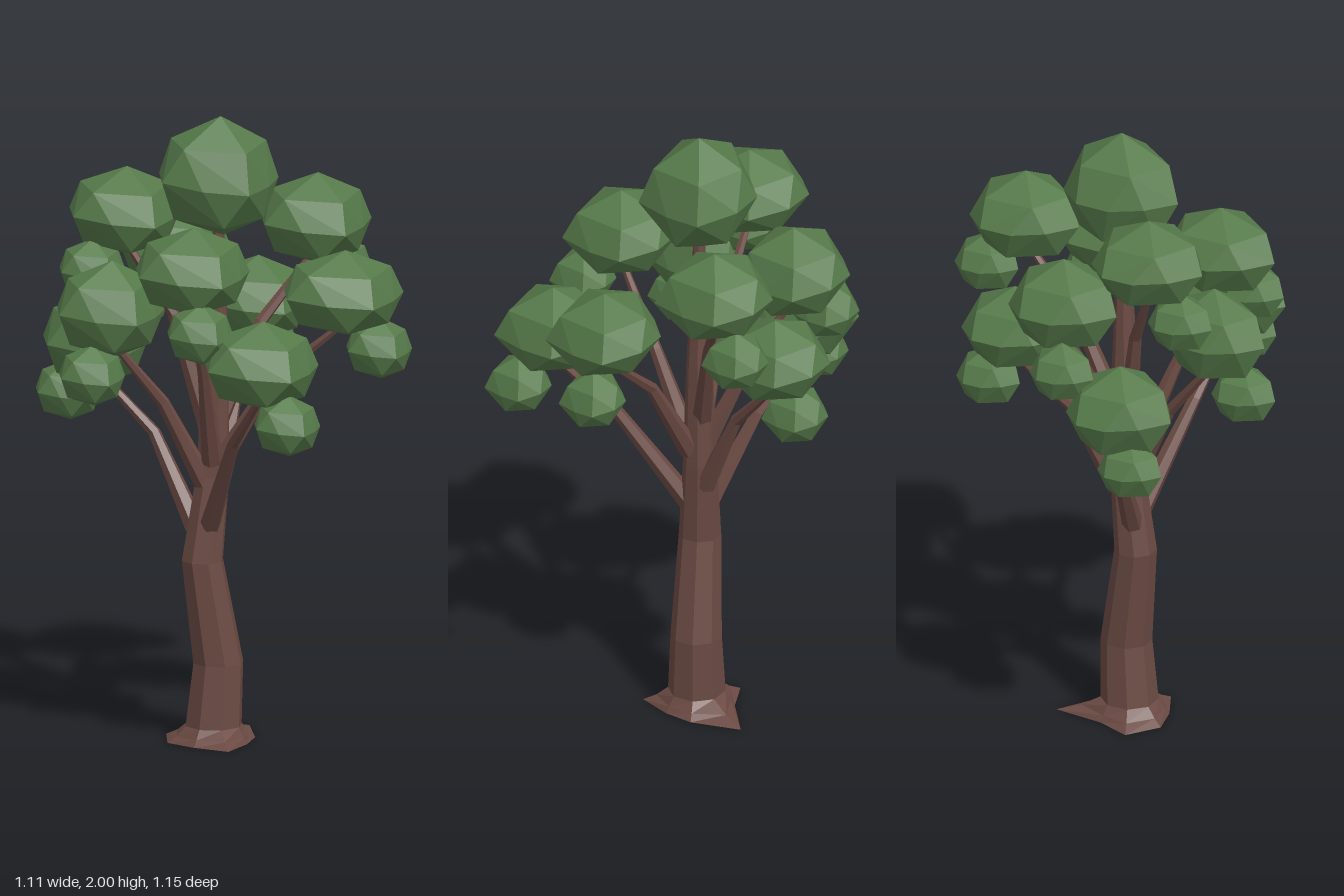
import * as THREE from 'three';
import { ConvexGeometry } from 'three/addons/geometries/ConvexGeometry.js';

const bark = new THREE.MeshStandardMaterial({ color: 0x6b4a43, flatShading: true });
const leaf = new THREE.MeshStandardMaterial({ color: 0x567a4a, flatShading: true });
const vec = (p) => new THREE.Vector3(...p);

// Closed tapering limb: one ring per point; a radius is a number or a list per side
function limb(name, points, radii, sides) {
  const pos = [], idx = [];
  const up = new THREE.Vector3(0, 1, 0);
  const pts = points.map(vec);
  pts.forEach((p, k) => {
    const dir = pts[Math.min(k + 1, pts.length - 1)].clone().sub(pts[Math.max(k - 1, 0)]).normalize();
    const q = new THREE.Quaternion().setFromUnitVectors(up, name === 'trunk' ? up : dir);
    for (let i = 0; i < sides; i++) {
      const a = (i / sides) * Math.PI * 2;
      const r = Array.isArray(radii[k]) ? radii[k][i] : radii[k];
      pos.push(...vec([Math.cos(a) * r, 0, Math.sin(a) * r]).applyQuaternion(q).add(p).toArray());
    }
  });
  for (let k = 0; k < pts.length - 1; k++) {
    for (let i = 0; i < sides; i++) {
      const a = k * sides + i, b = k * sides + ((i + 1) % sides);
      idx.push(a, a + sides, b, b, a + sides, b + sides);
    }
  }
  const top = (pts.length - 1) * sides;
  for (let i = 1; i < sides - 1; i++) idx.push(0, i, i + 1, top, top + i + 1, top + i);
  const g = new THREE.BufferGeometry();
  g.setAttribute('position', new THREE.Float32BufferAttribute(pos, 3));
  g.setIndex(idx);
  g.computeVertexNormals();
  const m = new THREE.Mesh(g, bark);
  m.name = name;
  return m;
}

// Faceted leaf clump in a 2-unit box: apex, shoulder, widest ring, underside, bottom
const clumpGeometry = new ConvexGeometry([
  [0.03, 1, 0],
  [0.8, 0.52, -0.12], [0.25, 0.5, 0.74], [-0.68, 0.56, 0.4], [-0.66, 0.58, -0.45], [0.2, 0.56, -0.76],
  [1, -0.12, -0.12], [0.7, -0.14, 0.45], [0.23, -0.15, 1], [-0.45, -0.1, 0.72], [-1, 0, 0.3],
  [-0.88, 0.03, -0.35], [-0.5, 0, -0.8], [0.05, 0, -1], [0.62, -0.02, -0.75],
  [0.65, -0.7, 0.3], [-0.1, -0.75, 0.7], [-0.75, -0.68, 0.05], [-0.25, -0.68, -0.68], [0.45, -0.68, -0.55],
  [0.05, -1, 0.05],
].map(vec));

function clump(name, center, size) {
  const m = new THREE.Mesh(clumpGeometry, leaf);
  m.name = name;
  m.position.set(...center);
  m.scale.set(...size).multiplyScalar(0.5);
  return m;
}

export function createModel() {
  const tree = new THREE.Group();
  tree.name = 'tree';

  // Trunk with a three-lobed, concave foot and a slight bend
  const foot = [0.135, 0.12, 0.17, 0.125, 0.15, 0.17, 0.12, 0.23];
  const ankle = foot.map((r) => 0.4 * r + 0.06);
  tree.add(limb('trunk', [
    [-0.02, 0, -0.08], [-0.02, 0.02, -0.08], [-0.02, 0.05, -0.08], [-0.005, 0.25, -0.08], [-0.055, 0.58, -0.085],
    [-0.02, 0.85, -0.09], [-0.01, 1.2, -0.09], [0, 1.72, -0.09],
  ], [foot, ankle, 0.091, 0.081, 0.067, 0.054, 0.042, 0.014], 8));

  tree.add(clump('crownTop', [0, 1.81, -0.09], [0.4, 0.38, 0.37]));

  // Each bough: big clump centre and size, small side clump centre, branch root and bend
  const boughs = [
    { c: [-0.27, 1.69, -0.21], s: [0.37, 0.28, 0.38], side: [-0.385, 1.515, -0.18], root: [-0.03, 1.0, -0.1], bend: [-0.13, 1.36, -0.15] },
    { c: [-0.16, 1.575, 0.18], s: [0.38, 0.28, 0.36], side: [-0.17, 1.4, 0.3], root: [-0.03, 0.9, -0.06], bend: [-0.09, 1.2, 0.06] },
    { c: [-0.37, 1.42, -0.025], s: [0.36, 0.31, 0.31], side: [-0.445, 1.225, 0.03], root: [-0.05, 0.83, -0.08], bend: [-0.19, 1.1, -0.06] },
    { c: [0.335, 1.47, 0.16], s: [0.4, 0.27, 0.36], side: [0.445, 1.29, 0.18], root: [0, 0.9, -0.06], bend: [0.14, 1.18, 0.04] },
    { c: [0.345, 1.63, -0.19], s: [0.37, 0.29, 0.37], side: [0.44, 1.455, -0.27], root: [0, 1.02, -0.1], bend: [0.15, 1.32, -0.14] },
    { c: [0.01, 1.305, 0.37], s: [0.38, 0.28, 0.36], side: [0.065, 1.13, 0.47], root: [-0.04, 0.7, -0.05], bend: [-0.03, 1.01, 0.18] },
    { c: [-0.32, 1.245, -0.37], s: [0.35, 0.3, 0.36], side: [-0.4, 1.08, -0.4], root: [-0.07, 0.68, -0.11], bend: [-0.165, 0.96, -0.25] },
    { c: [-0.06, 1.525, -0.38], s: [0.37, 0.3, 0.36], side: [-0.155, 1.35, -0.47], root: [-0.02, 0.92, -0.11], bend: [-0.03, 1.2, -0.24] },
    { c: [0.2, 1.345, -0.36], s: [0.35, 0.27, 0.35], side: [0.245, 1.18, -0.43], root: [0, 0.78, -0.11], bend: [0.09, 1.06, -0.22] },
  ];
  boughs.forEach((b, i) => {
    const bough = new THREE.Group();
    bough.name = 'bough' + (i + 1);
    const tip = [b.c[0], b.c[1] - 0.1, b.c[2]];
    bough.add(
      limb('branch', [b.root, b.bend, tip], [0.034, 0.02, 0.011], 6),
      clump('leafClump', b.c, b.s),
      clump('smallLeafClump', b.side, [0.22, 0.195, 0.21]),
    );
    tree.add(bough);
  });
  return tree;
}
